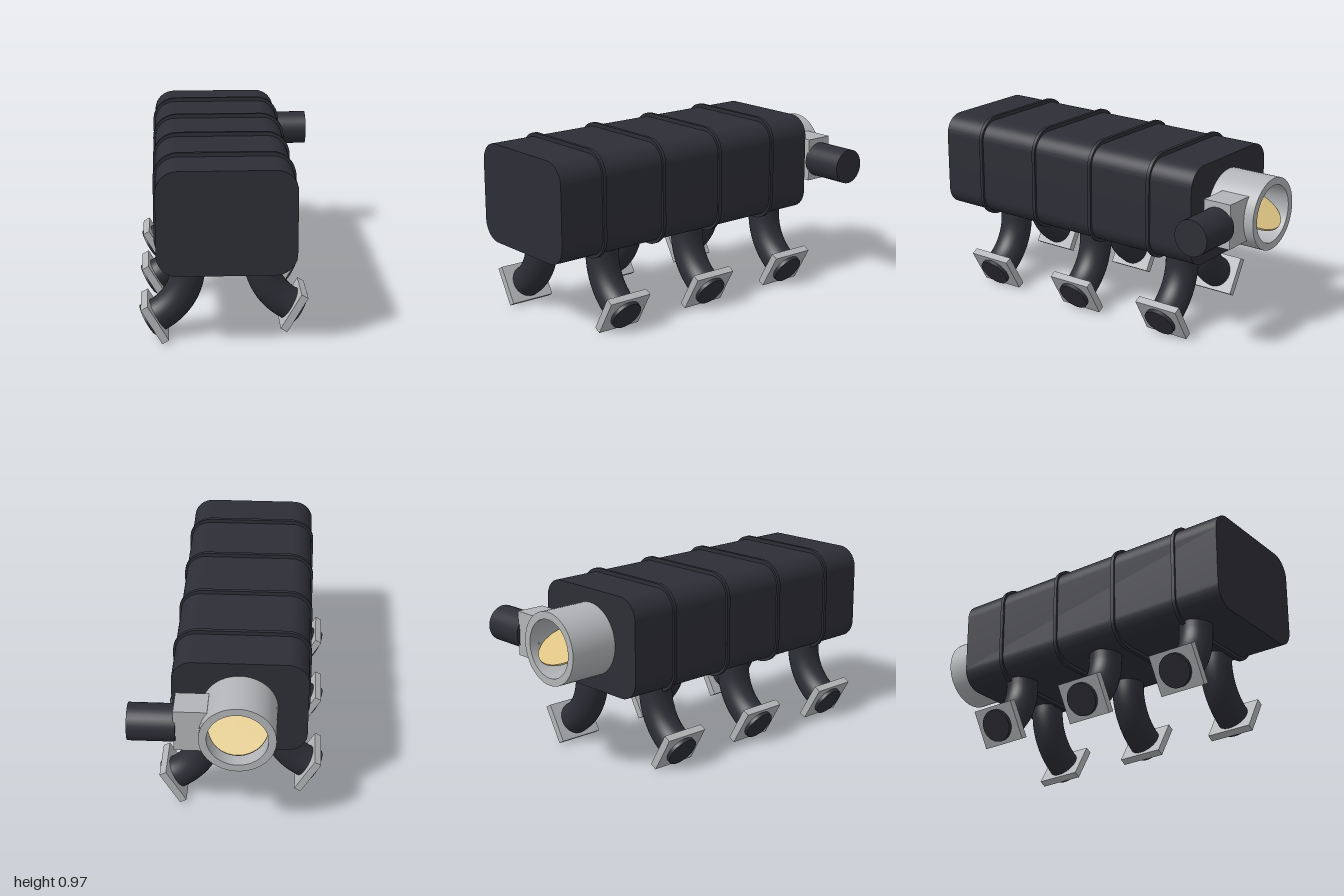
import * as THREE from 'three';
import { toCreasedNormals } from 'three/addons/utils/BufferGeometryUtils.js';

const CX = -0.058; // centre line of the plenum
const CY = 0.68;

const black = new THREE.MeshStandardMaterial({ name: 'black plastic', color: 0x2d2e36 });
const metal = new THREE.MeshStandardMaterial({ name: 'cast aluminium', color: 0xb2b4b7 });
const brass = new THREE.MeshStandardMaterial({ name: 'brass', color: 0xdcc383 });

function add(parent, name, geometry, material, x = 0, y = 0, z = 0) {
  const mesh = new THREE.Mesh(geometry, material);
  mesh.name = name;
  mesh.position.set(x, y, z);
  parent.add(mesh);
  return mesh;
}

// Rounded rectangle in xy, extruded along z and centred on its depth
function roundedSlab(w, h, r, depth) {
  const s = new THREE.Shape();
  const a = w / 2 - r, b = h / 2 - r;
  s.absarc(a, b, r, 0, Math.PI / 2);
  s.absarc(-a, b, r, Math.PI / 2, Math.PI);
  s.absarc(-a, -b, r, Math.PI, Math.PI * 1.5);
  s.absarc(a, -b, r, Math.PI * 1.5, Math.PI * 2);
  s.closePath();
  const g = new THREE.ExtrudeGeometry(s, { depth, bevelEnabled: false, curveSegments: 12 });
  g.translate(0, 0, -depth / 2);
  return toCreasedNormals(g, 0.6);
}

// Runner bending outwards by 60 degrees; side is +1 (left) or -1 (right)
function makeRunner(side) {
  const g = new THREE.Group();
  g.name = side > 0 ? 'leftRunner' : 'rightRunner';
  const R = 0.312, x0 = 0.187, y0 = 0.385, r = 0.088, bend = Math.PI / 3;
  const path = [new THREE.Vector3(side * x0, y0 + 0.1, 0)];
  for (let i = 0; i <= 16; i++) {
    const t = (bend * i) / 16;
    path.push(new THREE.Vector3(side * (x0 + R * (1 - Math.cos(t))), y0 - R * Math.sin(t), 0));
  }
  const bendEnd = path[path.length - 1];
  const dir = new THREE.Vector3(side * Math.sin(bend), -Math.cos(bend), 0);
  const at = (d) => bendEnd.clone().addScaledVector(dir, d);
  const tip = at(0.06);
  path.push(tip);
  add(g, 'runnerTube', new THREE.TubeGeometry(new THREE.CatmullRomCurve3(path), 40, r, 32), black);

  const turn = new THREE.Quaternion().setFromUnitVectors(new THREE.Vector3(0, 0, 1), dir);
  const cap = add(g, 'runnerEnd', new THREE.CircleGeometry(r, 32), black, tip.x, tip.y, 0);
  cap.quaternion.copy(turn);

  // Mounting flange set just behind the tube end
  const f = at(0.02);
  const flange = add(g, 'runnerFlange', new THREE.BoxGeometry(0.04, 0.214, 0.257), metal, f.x, f.y, 0);
  flange.rotation.z = -side * Math.PI / 6;
  return g;
}

function makeThrottle() {
  const g = new THREE.Group();
  g.name = 'throttleBody';
  // Hollow housing, open towards the back
  const profile = [[0.195, 0], [0.195, 0.275], [0.155, 0.275], [0.155, 0]]
    .map(([x, y]) => new THREE.Vector2(x, y));
  const housing = add(g, 'throttleHousing',
    toCreasedNormals(new THREE.LatheGeometry(profile, 48), 0.6), metal, CX, CY, -0.7);
  housing.rotation.x = -Math.PI / 2;

  // Tilted butterfly plate
  const plate = add(g, 'butterflyPlate', new THREE.CylinderGeometry(0.154, 0.154, 0.01, 48), brass, CX, CY, -0.862);
  plate.rotation.x = -Math.PI / 6;

  // Actuator block and motor on the left
  add(g, 'actuatorBlock', new THREE.BoxGeometry(0.17, 0.24, 0.16), metal, 0.18, 0.685, -0.84);
  const motor = add(g, 'actuatorMotor', new THREE.CylinderGeometry(0.097, 0.097, 0.245, 32), black, 0.3775, CY, -0.842);
  motor.rotation.z = -Math.PI / 2;
  return g;
}

export function createModel() {
  const model = new THREE.Group();
  model.name = 'intakeManifold';

  // Plenum with its reinforcing ribs
  add(model, 'plenum', roundedSlab(0.7, 0.54, 0.11, 1.7), black, CX, CY, 0.15);
  const rib = roundedSlab(0.722, 0.582, 0.13, 0.02);
  for (const z of [0.735, 0.345, -0.045, -0.432]) add(model, 'plenumRib', rib, black, CX, CY, z);

  // Three staggered runners on each side
  for (let i = 0; i < 3; i++) {
    for (const side of [1, -1]) {
      const runner = makeRunner(side);
      runner.position.set(CX, 0, (side > 0 ? 0.63 : 0.755) - i * 0.585);
      model.add(runner);
    }
  }

  model.add(makeThrottle());
  return model;
}
